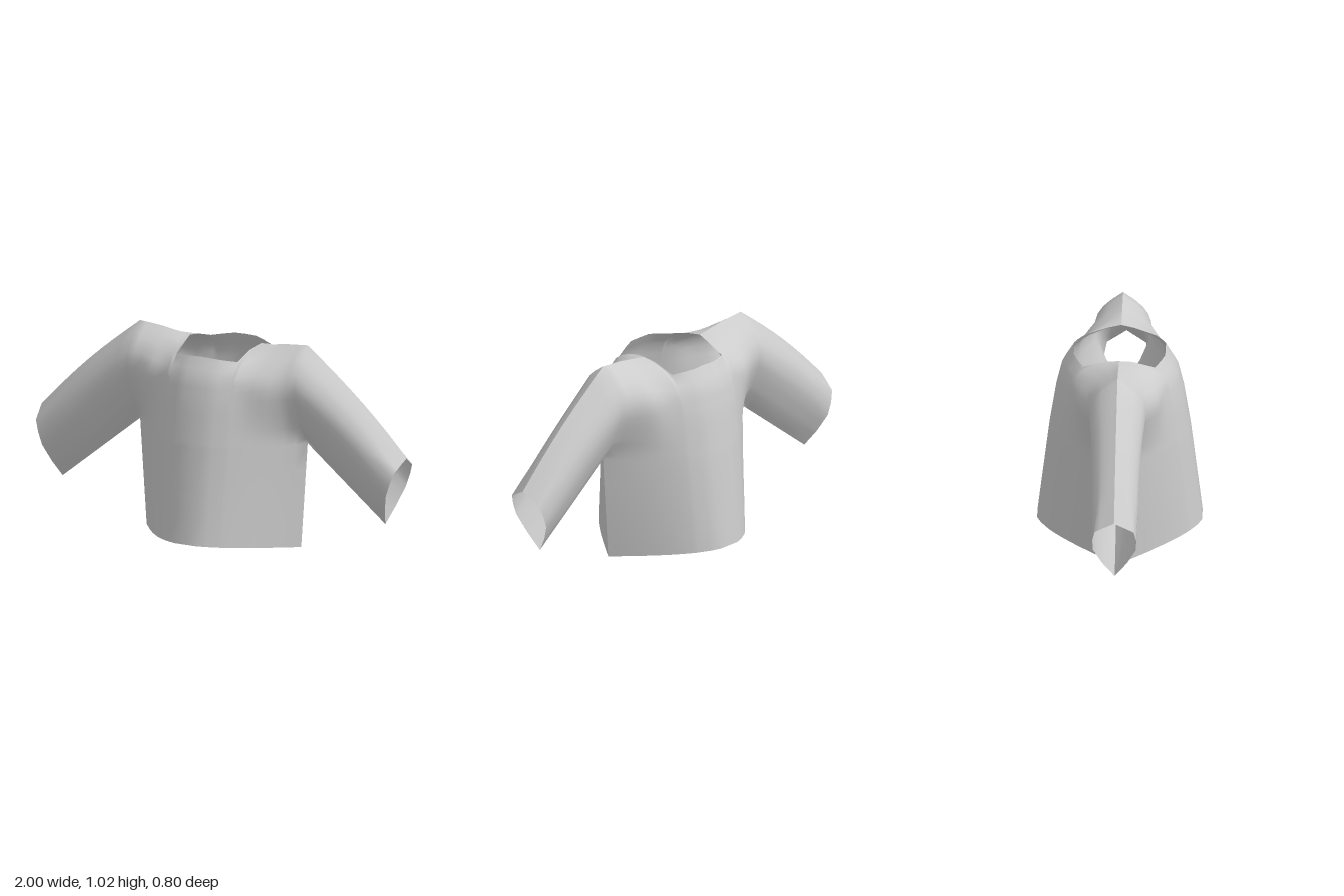
import * as THREE from 'three';

// Piecewise linear lookup through [position, value] pairs
function lookup(points, p) {
  for (let i = 1; i < points.length; i++) {
    const [a, va] = points[i - 1], [b, vb] = points[i];
    if (p <= b) return va + (vb - va) * Math.max(0, (p - a) / (b - a));
  }
  return points[points.length - 1][1];
}

const { lerp, smoothstep } = THREE.MathUtils;
const ARMPIT = { x: 0.46, y: 0.53 };
// Half depth of the body at the centre line, by height
const DEPTH = [[0, 0.403], [0.06, 0.4], [0.53, 0.343], [0.74, 0.31], [0.865, 0.28], [0.96, 0.222], [1.03, 0.19]];
// Half thickness of the sleeve from underside to top, at the shoulder, mid sleeve and cuff
const SHOULDER = [[0, 0], [0.12, 0.042], [0.25, 0.081], [0.5, 0.13], [0.64, 0.14], [0.76, 0.122], [0.84, 0.096], [0.92, 0.054], [1, 0]];
const MIDDLE = [[0, 0], [0.12, 0.036], [0.25, 0.067], [0.5, 0.109], [0.68, 0.111], [0.76, 0.102], [0.84, 0.084], [0.92, 0.05], [1, 0]];
const CUFF = [[0, 0], [0.25, 0.06], [0.5, 0.104], [0.68, 0.106], [0.84, 0.094], [1, 0]];
// Top edge: collar, step at the neck, then shoulder
const TOP = [[0, 0.96], [0.06, 0.958], [0.165, 0.944], [0.175, 0.979], [0.187, 0.988], [0.22, 0.994], [0.34, 1.014], [0.46, 1.024]];
const COLUMNS = [0, 0.06, 0.11, 0.165, 0.175, 0.187, 0.22, 0.26, 0.3, 0.34, 0.38, 0.42, 0.46];
const LOWER = [0, 0.25, 0.5, 0.75];
const UPPER = [0, 0.06, 0.12, 0.18, 0.25, 0.37, 0.5, 0.6, 0.68, 0.76, 0.84, 0.88, 0.92, 0.96, 1];
const SLEEVE_STEPS = 8;

// Rounded body outline, flat across the middle, pointed at the side seams
const outline = (x) => Math.min(1, Math.cos((Math.PI / 2) * (x / ARMPIT.x)) / 0.98);

// Body point below the armpit
function lowerPoint(x, t) {
  const c = outline(x);
  const y = lerp(0.001 + 0.057 * c, ARMPIT.y, t);
  return [x * lerp(0.923, 1, y / ARMPIT.y), y, lookup(DEPTH, y) * c];
}

// Chest and shoulder point, swelling into the sleeve
function upperPoint(x, s) {
  const y = lerp(ARMPIT.y, lookup(TOP, x), s);
  let body = lookup(DEPTH, y) * outline(x);
  if (x > 0.17) {
    // the shoulder turns from rounded at the neck to a pitched ridge
    const range = lerp(0.1, 0.3, (x - 0.175) / 0.285);
    const drop = Math.min(1, Math.max(0, (Math.max(0.988, lookup(TOP, x)) - y) / range));
    body *= Math.pow(1 - (1 - drop) ** 2, lerp(0.6, 1, smoothstep(x, 0.175, 0.38)));
  } else if (x > 0.06) {
    // the collar corner sits slightly further in
    body -= 0.025 * ((x - 0.06) / 0.105) * s ** 6;
  }
  const arm = lookup(SHOULDER, s) * smoothstep(x, 0.15, 0.33);
  return [x, y, Math.hypot(body, arm)];
}

// Sleeve point, v runs from armpit to cuff
function sleevePoint(v, s) {
  const bulge = 0.013 * Math.sin(Math.PI * v);
  const x = lerp(lerp(ARMPIT.x, 0.885, v), lerp(ARMPIT.x, 1, v) + bulge, s);
  const y = lerp(lerp(ARMPIT.y, 0.181, v), lerp(1.024, 0.528, v) + bulge, s);
  const tapered = lerp(lookup(MIDDLE, s), lookup(SHOULDER, s), (1 - v) ** 3);
  return [x, y, lerp(tapered, lookup(CUFF, s), smoothstep(v, 0.7, 1))];
}

// One whole panel from cuff to cuff; side is 1 for front, -1 for back
function panel(side) {
  const half = [];
  for (const x of COLUMNS) {
    half.push([...LOWER.map((t) => lowerPoint(x, t)), ...UPPER.map((s) => upperPoint(x, s))]);
  }
  for (let k = 1; k <= SLEEVE_STEPS; k++) {
    const v = k / SLEEVE_STEPS;
    half.push([...LOWER.map(() => sleevePoint(v, 0)), ...UPPER.map((s) => sleevePoint(v, s))]);
  }
  const last = half.length - 1, rows = half[0].length;
  const positions = [], index = [];
  for (let j = -last; j <= last; j++) {
    for (const [x, y, z] of half[Math.abs(j)]) positions.push(j < 0 ? -x : x, y, z * side);
  }
  for (let j = -last; j < last; j++) {
    const outer = Math.max(Math.abs(j), Math.abs(j + 1));
    const start = outer < COLUMNS.length ? 0 : LOWER.length;
    for (let r = start; r < rows - 1; r++) {
      const a = (j + last) * rows + r, b = a + rows;
      if (side > 0) index.push(a, b, b + 1, a, b + 1, a + 1);
      else index.push(a, b + 1, b, a, a + 1, b + 1);
    }
  }
  const geometry = new THREE.BufferGeometry();
  geometry.setAttribute('position', new THREE.Float32BufferAttribute(positions, 3));
  geometry.setIndex(index);
  geometry.computeVertexNormals();
  return geometry;
}

export function createModel() {
  const group = new THREE.Group();
  group.name = 'shirt';
  const fabric = new THREE.MeshStandardMaterial({ color: 0xcccccc, side: THREE.DoubleSide });
  fabric.name = 'light grey fabric';
  // Front and back meet at a sharp seam along sides and sleeves
  for (const [name, side] of [['frontPanel', 1], ['backPanel', -1]]) {
    const mesh = new THREE.Mesh(panel(side), fabric);
    mesh.name = name;
    group.add(mesh);
  }
  return group;
}
